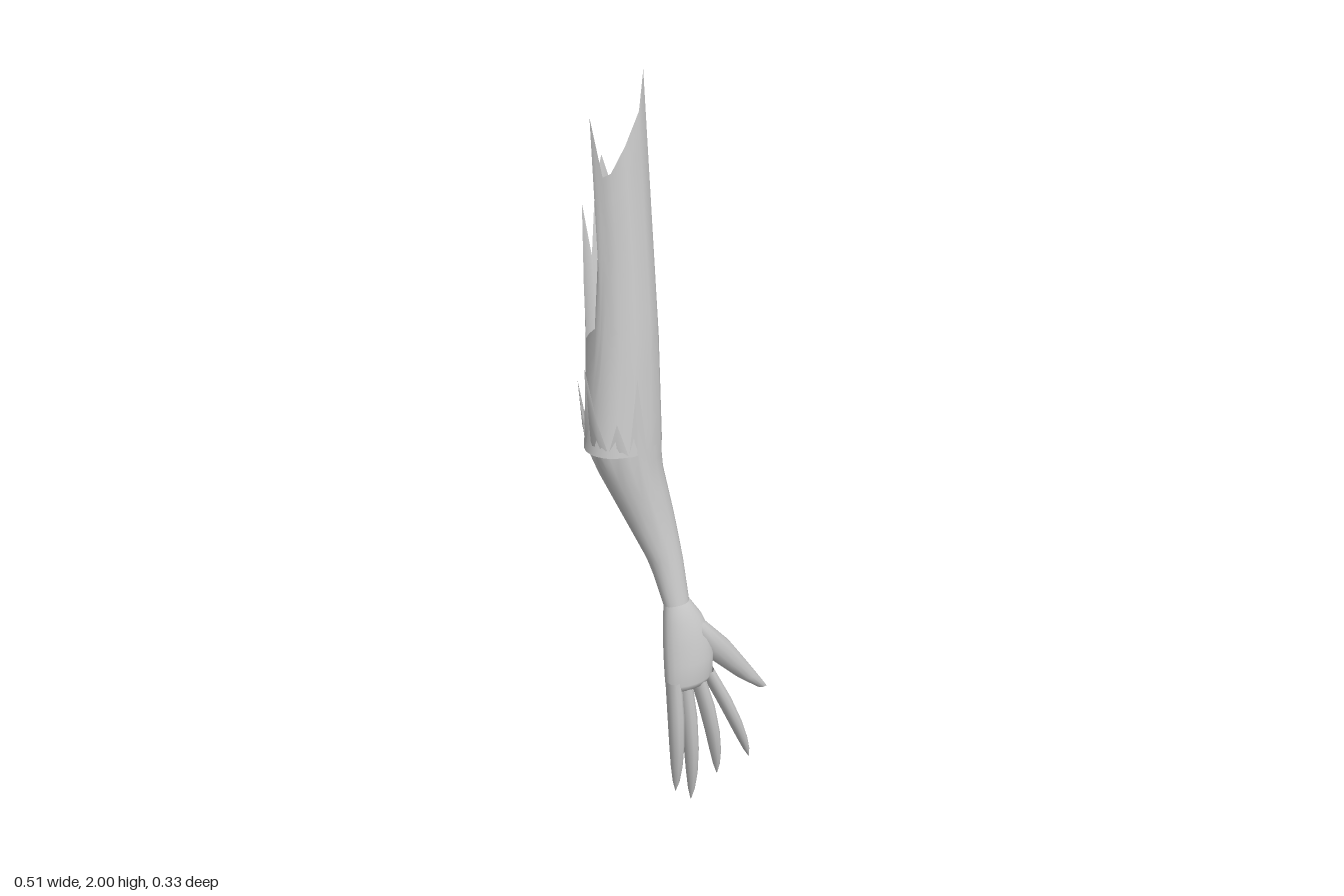
import * as THREE from 'three';

const material = new THREE.MeshStandardMaterial({ color: 0xcccccc, side: THREE.DoubleSide });

// Closed skin around the y axis: point(col, row) gives [x, y, z], rows run upward
function skin(name, cols, rows, point) {
  const pos = [], index = [];
  for (let r = 0; r < rows; r++) for (let c = 0; c < cols; c++) pos.push(...point(c, r));
  for (let r = 0; r < rows - 1; r++) {
    for (let c = 0; c < cols; c++) {
      const a = r * cols + c, b = r * cols + (c + 1) % cols;
      index.push(a, a + cols, b, b, a + cols, b + cols);
    }
  }
  const geometry = new THREE.BufferGeometry();
  geometry.setAttribute('position', new THREE.Float32BufferAttribute(pos, 3));
  geometry.setIndex(index);
  geometry.computeVertexNormals();
  const mesh = new THREE.Mesh(geometry, material);
  mesh.name = name;
  return mesh;
}

// Point on an elliptical section [y, centreX, centreZ, radiusX, radiusZ]
function onSection([y, cx, cz, rx, rz], angle) {
  return [cx + rx * Math.cos(angle), y, cz + rz * Math.sin(angle)];
}

// Section at any height, blended from a list sorted upward
function sectionAt(sections, y) {
  let i = 0;
  while (i < sections.length - 2 && y > sections[i + 1][0]) i++;
  const a = sections[i], b = sections[i + 1];
  const t = (y - a[0]) / (b[0] - a[0]);
  return a.map((v, k) => v + (b[k] - v) * t);
}

// Solid tapering form through the sections
function loft(name, sections, cols = 14) {
  return skin(name, cols, sections.length, (c, r) => onSection(sections[r], c / cols * Math.PI * 2));
}

// Open shell whose upper edge is torn: rim lists [degrees, height]
function tornShell(name, sections, bottom, rim, rows = 12) {
  return skin(name, rim.length, rows, (c, r) => {
    const y = bottom + (rim[c][1] - bottom) * r / (rows - 1);
    return onSection(sectionAt(sections, y), THREE.MathUtils.degToRad(rim[c][0]));
  });
}

export function createModel() {
  const arm = new THREE.Group();
  arm.name = 'arm';

  // Upper sleeve: tall front panel, notched sides, pointed back
  arm.add(tornShell('upperSleeve', [
    [1.11, -0.155, 0.01, 0.1, 0.08],
    [1.4, -0.135, -0.02, 0.086, 0.09],
    [1.6, -0.13, -0.045, 0.08, 0.095],
    [1.8, -0.13, -0.07, 0.08, 0.1],
    [2.0, -0.13, -0.12, 0.092, 0.13],
  ], 1.11, [
    [0, 1.41], [25, 1.38], [45, 2.0], [70, 1.92], [100, 1.85], [125, 1.79], [138, 1.78],
    [146, 1.91], [156, 1.6], [168, 1.42], [185, 1.4], [200, 1.38], [218, 1.5], [240, 1.68],
    [255, 1.55], [275, 1.72], [290, 1.78], [312, 1.65], [332, 1.36], [345, 1.3],
  ]));

  // Forearm: torn points overlap the sleeve at the elbow
  arm.add(tornShell('forearm', [
    [0.66, -0.057, 0.1, 0.035, 0.029],
    [0.78, -0.071, 0.073, 0.045, 0.038],
    [0.9, -0.1, 0.044, 0.064, 0.053],
    [1.05, -0.142, 0.015, 0.084, 0.074],
    [1.13, -0.156, 0.01, 0.099, 0.079],
    [1.32, -0.151, -0.008, 0.107, 0.094],
  ], 0.66, [
    [0, 1.12], [20, 1.12], [40, 1.12], [60, 1.12], [78, 1.12], [93, 1.31], [108, 1.11],
    [122, 1.2], [138, 1.12], [152, 1.2], [168, 1.33], [188, 1.13], [205, 1.28], [222, 1.12],
    [240, 1.25], [258, 1.12], [275, 1.12], [295, 1.12], [318, 1.12], [340, 1.12],
  ]));

  // Hand
  const hand = new THREE.Group();
  hand.name = 'hand';
  arm.add(hand);
  hand.add(loft('palm', [
    [0.41, -0.038, 0.125, 0.01, 0.005],
    [0.42, -0.038, 0.127, 0.062, 0.03],
    [0.44, -0.036, 0.127, 0.069, 0.039],
    [0.5, -0.033, 0.122, 0.072, 0.042],
    [0.56, -0.035, 0.115, 0.068, 0.041],
    [0.62, -0.045, 0.109, 0.054, 0.037],
    [0.67, -0.057, 0.099, 0.035, 0.029],
  ], 20));
  hand.add(loft('thumb', [
    [0.265, 0.257, 0.07, 0.001, 0.001],
    [0.29, 0.226, 0.085, 0.014, 0.016],
    [0.35, 0.172, 0.095, 0.028, 0.022],
    [0.42, 0.115, 0.101, 0.038, 0.028],
    [0.5, 0.05, 0.11, 0.048, 0.035],
    [0.57, 0.004, 0.115, 0.034, 0.036],
    [0.62, -0.025, 0.112, 0.02, 0.025],
  ]));

  // Fingers: base x, middle x, tip x, tip y, tip z
  const fingers = [
    ['littleFinger', -0.086, -0.076, -0.063, 0.055, 0.105],
    ['ringFinger', -0.055, -0.03, -0.01, 0.0, 0.1],
    ['middleFinger', -0.017, 0.034, 0.072, 0.06, 0.105],
    ['indexFinger', 0.015, 0.1, 0.175, 0.08, 0.11],
  ];
  for (const [name, baseX, midX, tipX, tipY, tipZ] of fingers) {
    const path = new THREE.QuadraticBezierCurve3(
      new THREE.Vector3(baseX, 0.45, 0.132),
      new THREE.Vector3(2 * midX - (baseX + tipX) / 2, (0.45 + tipY) / 2, 0.145),
      new THREE.Vector3(tipX, tipY, tipZ));
    const profile = [[1, 0.001], [0.9, 0.009], [0.75, 0.015], [0.55, 0.019], [0.3, 0.021], [0, 0.02]];
    hand.add(loft(name, profile.map(([t, radius]) => {
      const p = path.getPoint(t);
      return [p.y, p.x, p.z, radius, radius * 1.25];
    }), 10));
  }
  return arm;
}
